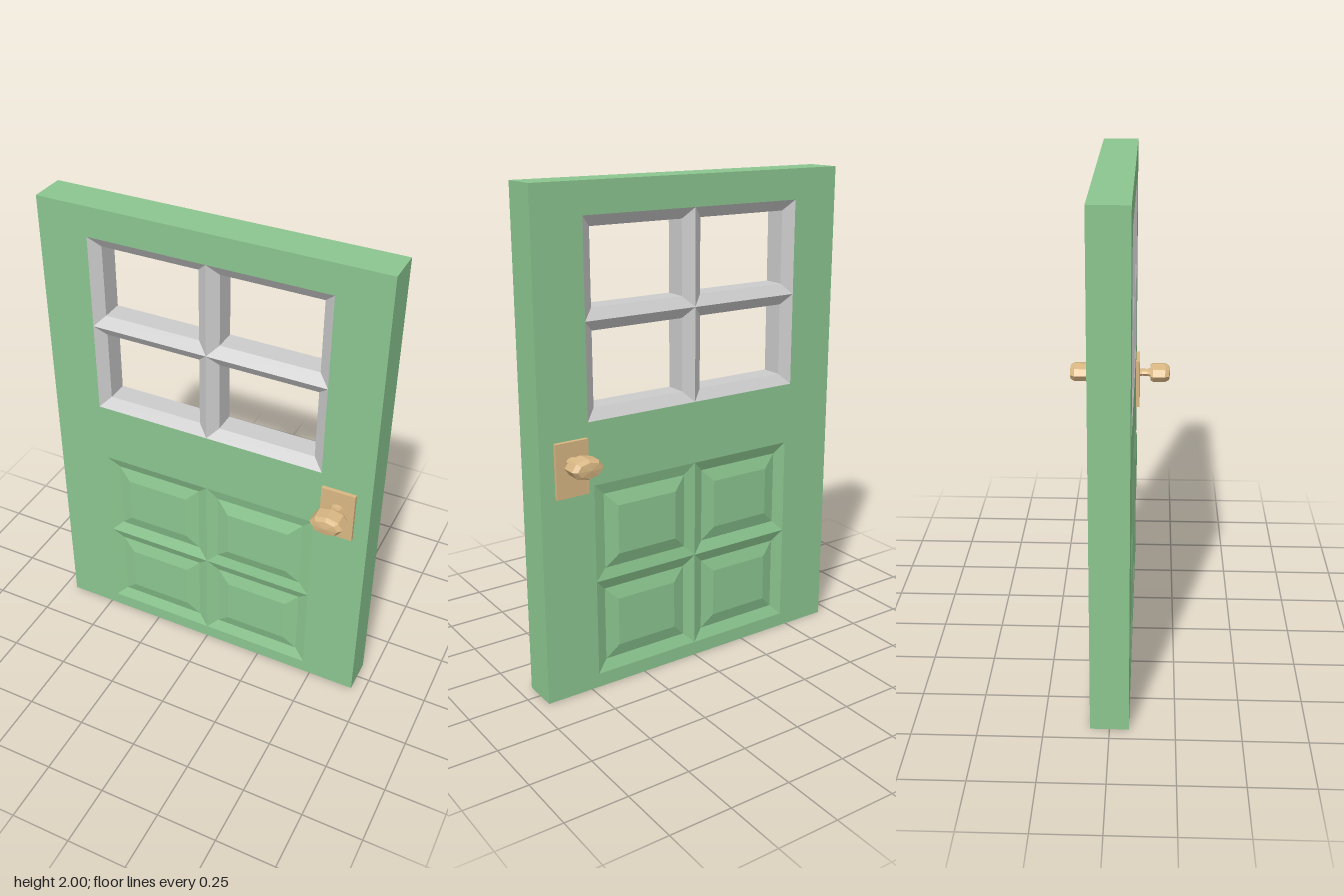
import * as THREE from 'three';

const HALF_W = 0.695, HEIGHT = 2, FACE = 0.074;

const green = new THREE.MeshStandardMaterial({ color: 0x8bc58f, flatShading: true });
const grey = new THREE.MeshStandardMaterial({ color: 0xcccccc, flatShading: true });
const brass = new THREE.MeshStandardMaterial({ color: 0xd8b682, flatShading: true });

function mesh(name, geometry, material) {
  const m = new THREE.Mesh(geometry, material);
  m.name = name;
  return m;
}

// Skin between successive rectangular rings [x0, x1, y0, y1, z]; side -1 mirrors it to the back
function loftRects(rings, { cap = false, side = 1 } = {}) {
  const pos = [];
  const corners = rings.map(([x0, x1, y0, y1, z]) =>
    [[x0, y0], [x1, y0], [x1, y1], [x0, y1]].map(([x, y]) => [x, y, z * side]));
  const quad = (a, b, c, d) => {
    const order = side > 0 ? [a, b, c, a, c, d] : [a, c, b, a, d, c];
    for (const p of order) pos.push(...p);
  };
  for (let r = 0; r < corners.length - 1; r++) {
    const a = corners[r], b = corners[r + 1];
    for (let i = 0; i < 4; i++) {
      const j = (i + 1) % 4;
      quad(a[i], a[j], b[j], b[i]);
    }
  }
  if (cap) quad(...corners[corners.length - 1]);
  const g = new THREE.BufferGeometry();
  g.setAttribute('position', new THREE.Float32BufferAttribute(pos, 3));
  g.computeVertexNormals();
  return g;
}

// Rectangle shrunk by d on every side, at depth z
const inset = ([x0, x1, y0, y1], d, z) => [x0 + d, x1 - d, y0 + d, y1 - d, z];

function rectPath(Type, [x0, x1, y0, y1]) {
  return new Type([[x0, y0], [x1, y0], [x1, y1], [x0, y1]].map((p) => new THREE.Vector2(...p)));
}

// Split a rectangle into a 2 x 2 grid of cells
function cells([x0, x1, y0, y1]) {
  const mx = (x0 + x1) / 2, my = (y0 + y1) / 2;
  return [
    { name: 'LowerRight', rect: [x0, mx, y0, my] },
    { name: 'LowerLeft', rect: [mx, x1, y0, my] },
    { name: 'UpperRight', rect: [x0, mx, my, y1] },
    { name: 'UpperLeft', rect: [mx, x1, my, y1] },
  ];
}

// Backplate with a faceted oval knob, facing +z
function buildHandle(name) {
  const handle = new THREE.Group();
  handle.name = name;
  const plate = mesh('backplate', new THREE.BoxGeometry(0.138, 0.218, 0.03), brass);
  plate.position.set(0, 0.951, FACE + 0.001);
  const profile = [
    [0.029, 0.085], [0.025, 0.1], [0.025, 0.125], [0.032, 0.138],
    [0.058, 0.138], [0.067, 0.15], [0.067, 0.204], [0.052, 0.222], [0, 0.227],
  ].map((p) => new THREE.Vector2(...p));
  const knobGeometry = new THREE.LatheGeometry(profile, 8);
  knobGeometry.rotateX(Math.PI / 2).scale(1, 0.59, 1);
  const knob = mesh('knob', knobGeometry, brass);
  knob.position.y = 0.985;
  handle.add(plate, knob);
  return handle;
}

export function createModel() {
  const door = new THREE.Group();
  door.name = 'door';
  const outline = [-HALF_W, HALF_W, 0, HEIGHT];
  const windowRect = [-0.488, 0.488, 1.117, 1.878];
  const panelRect = [-0.467, 0.467, 0.058, 0.862];

  // Slab: outer edge plus a front and a back face with two cut-outs
  door.add(mesh('doorEdge', loftRects([inset(outline, 0, -FACE), inset(outline, 0, FACE)]), green));
  const faceShape = rectPath(THREE.Shape, outline);
  faceShape.holes.push(rectPath(THREE.Path, windowRect), rectPath(THREE.Path, panelRect));
  const front = mesh('frontFace', new THREE.ShapeGeometry(faceShape), green);
  front.position.z = FACE;
  const back = mesh('backFace', new THREE.ShapeGeometry(faceShape), green);
  back.rotation.y = Math.PI;
  back.position.z = -FACE;
  door.add(front, back);

  // Window: four open lights, bevelled on both sides
  for (const { name, rect } of cells(windowRect)) {
    door.add(mesh('windowFrame' + name, loftRects([
      inset(rect, 0, FACE), inset(rect, 0.043, 0.044),
      inset(rect, 0.043, -0.044), inset(rect, 0, -FACE),
    ]), grey));
  }

  // Raised panels on both sides; the upper one under the handle stands proud
  for (const { name, rect } of cells(panelRect)) {
    const [floor, top] = name === 'UpperLeft' ? [0.063, 0.082] : [0.055, 0.07];
    for (const side of [1, -1]) {
      door.add(mesh((side > 0 ? 'frontPanel' : 'backPanel') + name, loftRects([
        inset(rect, 0, FACE), inset(rect, 0.046, floor), inset(rect, 0.1, top),
      ], { cap: true, side }), green));
    }
  }

  // Handles, front and back
  for (const [name, angle] of [['frontHandle', 0], ['backHandle', Math.PI]]) {
    const handle = buildHandle(name);
    handle.rotation.y = angle;
    handle.position.x = 0.566;
    door.add(handle);
  }
  return door;
}
